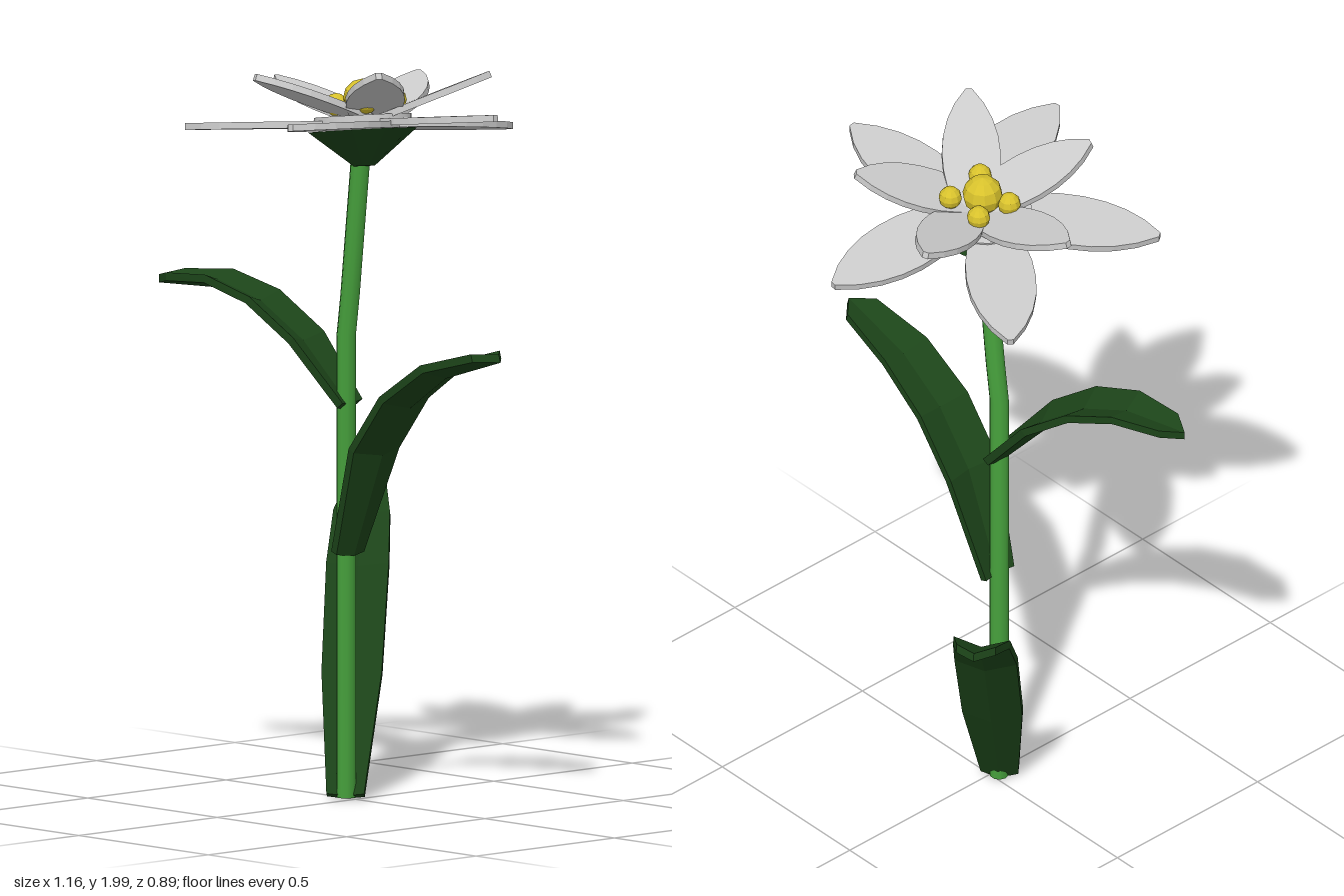
import * as THREE from 'three';
import { toCreasedNormals } from 'three/addons/utils/BufferGeometryUtils.js';

const V = (x, y, z) => new THREE.Vector3(x, y, z);
const mat = (color, flatShading = false) => new THREE.MeshStandardMaterial({ color, flatShading });
const stemMat = mat(0x46a03c);
const leafMat = mat(0x1c4419, true);
const petalMat = mat(0xcccccc);
const pollenMat = mat(0xd8c22c, true);

// Skin a list of rings (counter-clockwise about the path) and close both ends
function loft(rings, crease) {
  const n = rings[0].length, last = (rings.length - 1) * n, index = [];
  for (let i = 0; i < rings.length - 1; i++) {
    for (let j = 0; j < n; j++) {
      const a = i * n + j, b = i * n + (j + 1) % n;
      index.push(a, b, b + n, a, b + n, a + n);
    }
  }
  for (let j = 1; j < n - 1; j++) {
    index.push(0, j + 1, j, last, last + j, last + j + 1);
  }
  const geo = new THREE.BufferGeometry().setFromPoints(rings.flat());
  geo.setIndex(index);
  return toCreasedNormals(geo, crease);
}

function add(parent, name, geo, material) {
  const mesh = new THREE.Mesh(geo, material);
  mesh.name = name;
  parent.add(mesh);
  return mesh;
}

// Stem: straight lower part, then a slight lean
function stemGeometry() {
  const path = [[-0.02, 0.02], [-0.02, 1.25], [-0.005, 1.36], [0.04, 1.77]];
  const rings = path.map(([x, y]) => Array.from({ length: 10 }, (_, j) => {
    const a = -j / 10 * Math.PI * 2;
    return V(x + 0.026 * Math.cos(a), y, 0.015 + 0.026 * Math.sin(a));
  }));
  return loft(rings, 0.9);
}

// Leaf: shallow V section swept along a profile of [distance from stem, height, half width]
function leafGeometry(angle, profile) {
  const out = V(Math.cos(angle), 0, Math.sin(angle));
  const up = V(0, 1, 0), half = 0.011, end = profile.length - 1;
  const at = i => V(-0.02, 0, 0.015).addScaledVector(out, profile[i][0]).addScaledVector(up, profile[i][1]);
  const rings = profile.map(([, , w], i) => {
    const t = at(Math.min(i + 1, end)).sub(at(Math.max(i - 1, 0))).normalize();
    const n = out.clone().multiplyScalar(-t.y).addScaledVector(up, t.dot(out));
    const side = n.clone().cross(t);
    const fold = 0.3 * w, point = i === end ? 0.05 : 0;
    const p = (s, h, along) => at(i).addScaledVector(side, s).addScaledVector(n, h).addScaledVector(t, along);
    return [p(0, half, point), p(-w, fold + half, 0), p(-w, fold - half, 0),
      p(0, -half, point), p(w, fold - half, 0), p(w, fold + half, 0)];
  });
  return loft(rings, 0.3);
}

// Petal: thin pointed oval
function petalGeometry(length, width) {
  const s = new THREE.Shape();
  s.moveTo(0, -0.03);
  s.bezierCurveTo(0.3 * length, -0.62 * width, 0.72 * length, -0.68 * width, length, -0.008);
  s.lineTo(length, 0.008);
  s.bezierCurveTo(0.72 * length, 0.68 * width, 0.3 * length, 0.62 * width, 0, 0.03);
  return new THREE.ExtrudeGeometry(s, { depth: 0.018, bevelEnabled: false, curveSegments: 8 });
}

const flowerUp = V(-0.15, 1, -0.07).normalize();

// Aim a petal so that its tip lands on the given point
function addPetal(parent, name, [x, y, z, degrees], reach, width) {
  const a = THREE.MathUtils.degToRad(degrees);
  const base = V(x - reach * Math.cos(a), 1.815, z - reach * Math.sin(a));
  const along = V(x, y - 0.01, z).sub(base);
  const mesh = add(parent, name, petalGeometry(along.length(), width), petalMat);
  along.normalize();
  const across = flowerUp.clone().cross(along).normalize();
  const normal = along.clone().cross(across);
  mesh.applyMatrix4(new THREE.Matrix4().makeBasis(along, across, normal).setPosition(base));
}

export function createModel() {
  const plant = new THREE.Group();
  plant.name = 'flowerPlant';
  add(plant, 'stem', stemGeometry(), stemMat);

  // Leaves: low at the back, middle to the left, high to the right
  add(plant, 'lowerLeaf', leafGeometry(Math.atan2(-0.76, -0.65),
    [[0, 0.02, 0.05], [0.16, 0.32, 0.08], [0.3, 0.59, 0.083], [0.39, 0.71, 0.075], [0.5, 0.775, 0.052]]), leafMat);
  add(plant, 'middleLeaf', leafGeometry(0,
    [[0.02, 0.67, 0.05], [0.13, 0.95, 0.083], [0.24, 1.09, 0.083], [0.38, 1.185, 0.075], [0.545, 1.235, 0.052]]), leafMat);
  add(plant, 'upperLeaf', leafGeometry(Math.atan2(0.15, -0.55),
    [[0, 1.06, 0.05], [0.14, 1.22, 0.078], [0.27, 1.315, 0.078], [0.4, 1.36, 0.07], [0.53, 1.36, 0.046]]), leafMat);

  const flower = new THREE.Group();
  flower.name = 'flowerHead';
  plant.add(flower);
  const tilt = new THREE.Quaternion().setFromUnitVectors(V(0, 1, 0), flowerUp);

  // Green cup and the pale disc above it
  const cup = add(flower, 'cup', new THREE.CylinderGeometry(0.145, 0.028, 0.095, 10), leafMat);
  cup.position.set(0.047, 1.757, 0.015);
  cup.quaternion.copy(tilt);
  const disc = add(flower, 'disc', new THREE.CylinderGeometry(0.13, 0.13, 0.03, 20), petalMat);
  disc.position.set(0.045, 1.828, 0.015);
  disc.quaternion.copy(tilt);

  // Petals: tip x, y, z and heading in degrees
  const outer = [[0.51, 1.88, -0.03, -3], [0.12, 1.78, -0.45, -86], [-0.355, 1.755, -0.25, -144],
    [-0.325, 1.805, 0.31, 145], [0.22, 1.87, 0.44, 78]];
  const inner = [[0.275, 1.955, -0.235, -55], [-0.08, 1.915, -0.305, -117], [-0.295, 1.91, 0.015, 178],
    [-0.055, 1.965, 0.315, 113], [0.31, 1.995, 0.205, 40]];
  outer.forEach(p => addPetal(flower, 'outerPetal', p, 0.46, 0.18));
  inner.forEach(p => addPetal(flower, 'innerPetal', p, 0.35, 0.15));

  // Pollen: one large bead ringed by four small ones
  const beads = [[0.045, 1.888, 0.015, 0.054], [-0.005, 1.87, -0.045, 0.031], [0.095, 1.885, -0.055, 0.031],
    [-0.015, 1.87, 0.055, 0.031], [0.11, 1.89, 0.065, 0.031]];
  beads.forEach(([x, y, z, r]) => {
    add(flower, 'pollenBead', new THREE.SphereGeometry(r, 10, 6), pollenMat).position.set(x, y, z);
  });
  return plant;
}
